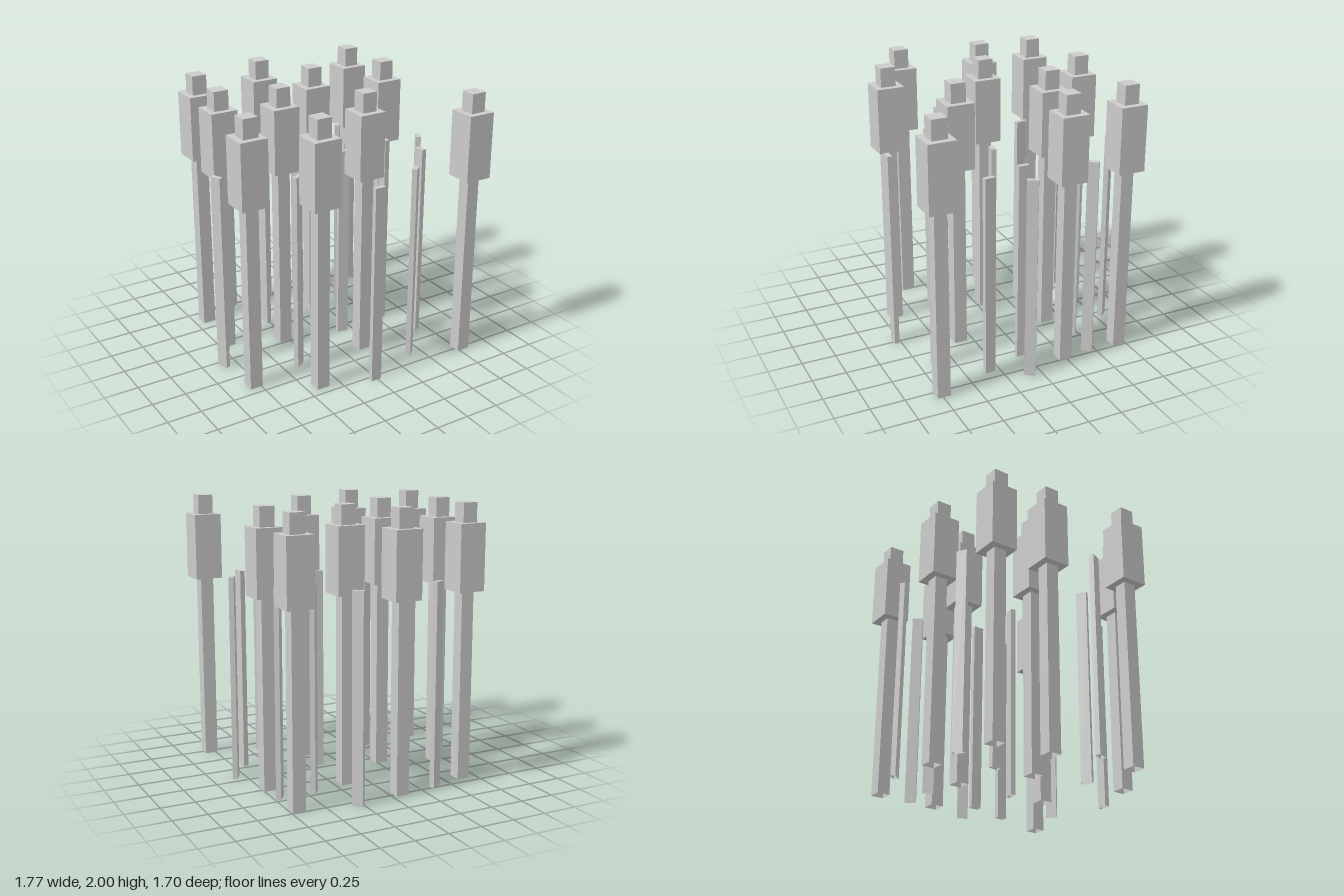
import * as THREE from 'three';

const material = new THREE.MeshStandardMaterial({ color: 0xcccccc, flatShading: true, side: THREE.DoubleSide });

// Box standing on height y0; the posts are hollow shells with an open underside
function block(name, w, h, d, y0, openBottom = false) {
  const geometry = new THREE.BoxGeometry(w, h, d);
  if (openBottom) {
    // BoxGeometry orders its sides +x, -x, +y, -y, +z, -z, six indices each
    const index = Array.from(geometry.index.array);
    index.splice(18, 6);
    geometry.setIndex(index);
    geometry.clearGroups();
  }
  geometry.translate(0, y0 + h / 2, 0);
  const mesh = new THREE.Mesh(geometry, material);
  mesh.name = name;
  return mesh;
}

// Tall post with a wide block and a small cap on top
function createTower(x, z) {
  const tower = new THREE.Group();
  tower.name = 'tower';
  tower.add(
    block('post', 0.095, 1.38, 0.095, 0, true),
    block('upperBlock', 0.2, 0.48, 0.2, 1.38),
    block('cap', 0.11, 0.14, 0.11, 1.86)
  );
  tower.position.set(x, 0, z);
  return tower;
}

// Thin plain slab turned about the vertical
function createSlab(x, z, degrees) {
  const slab = block('slab', 0.08, 1.48, 0.036, 0, true);
  slab.position.set(x, 0, z);
  slab.rotation.y = THREE.MathUtils.degToRad(degrees);
  return slab;
}

export function createModel() {
  const model = new THREE.Group();
  model.name = 'towerCluster';

  // Towers: x, z
  const towers = [
    [-0.645, -0.633], [-0.075, -0.74], [0.692, -0.693], [-0.682, -0.22],
    [-0.283, -0.063], [0.163, -0.372], [0.706, -0.238], [-0.787, 0.393],
    [-0.389, 0.644], [0.161, 0.346], [0.782, 0.744],
  ];
  for (const [x, z] of towers) model.add(createTower(x, z));

  // Slabs: x, z, turn in degrees
  const slabs = [
    [-0.372, -0.725, 28], [0.287, -0.81, -47], [0.445, -0.448, 53], [0.703, -0.44, 53],
    [-0.263, -0.365, -79], [0.166, 0.069, -10], [0.557, 0.024, 90], [0.82, 0.085, 60],
    [-0.848, 0.055, -66], [-0.377, 0.329, 31], [0.663, 0.327, -84], [0.405, 0.62, 42],
    [-0.012, 0.782, 0],
  ];
  for (const [x, z, turn] of slabs) model.add(createSlab(x, z, turn));

  return model;
}
